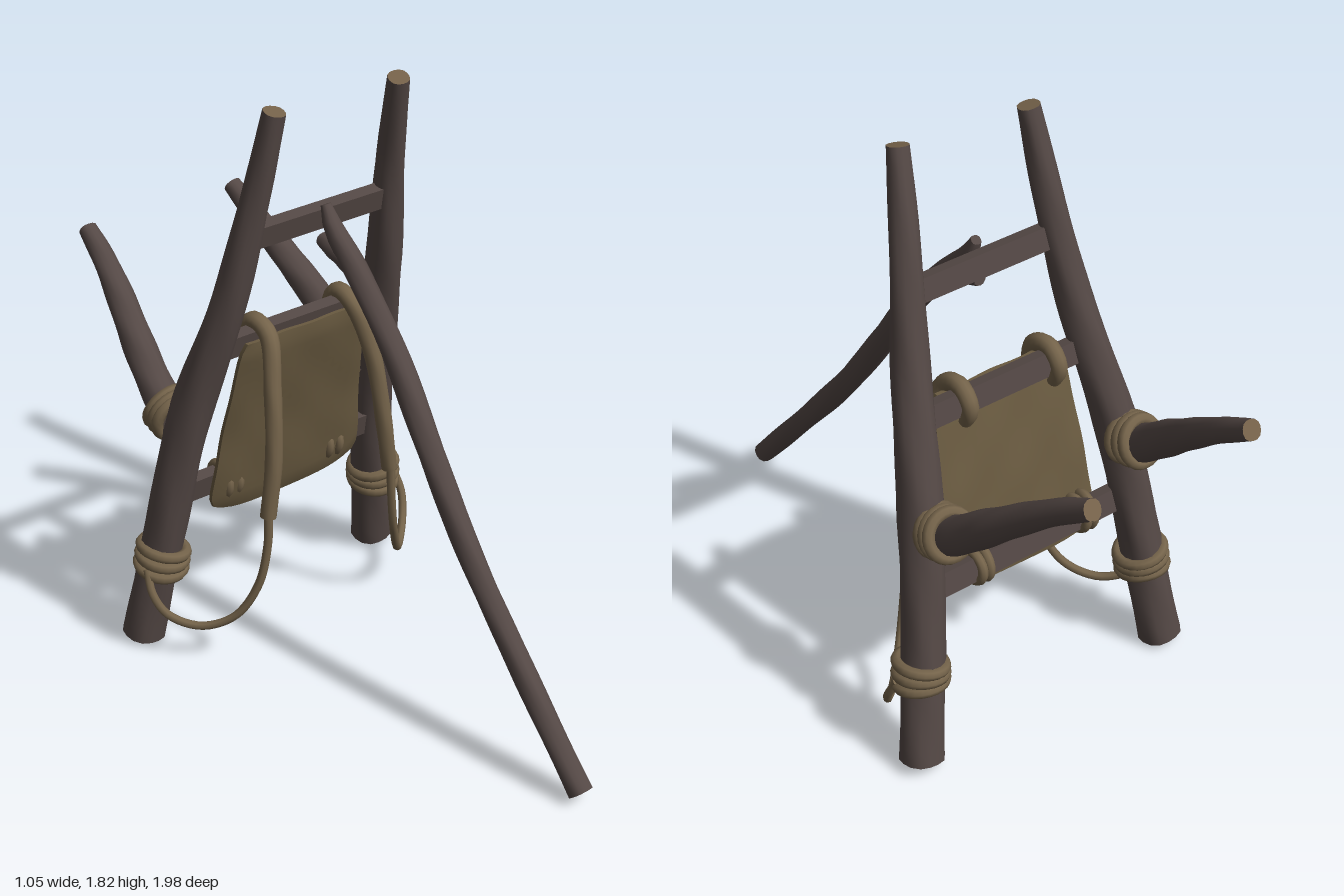
import * as THREE from 'three';

const wood = new THREE.MeshStandardMaterial({ color: 0x544845 });
wood.name = 'dark wood';
const cutWood = new THREE.MeshStandardMaterial({ color: 0x75624a });
cutWood.name = 'cut wood';
const cloth = new THREE.MeshStandardMaterial({ color: 0x695a40 });
cloth.name = 'hide cloth';
const rope = new THREE.MeshStandardMaterial({ color: 0x74634a });
rope.name = 'rope';

const V = (x, y, z) => new THREE.Vector3(x, y, z);

// Tapered limb through points [x, y, z, radius], with slight lumps and flat end caps
function limb(name, points, mats, lump = 0, sides = 14, steps = 36) {
  const curve = new THREE.CatmullRomCurve3(points.map(p => V(p[0], p[1], p[2])));
  const frames = curve.computeFrenetFrames(steps, false);
  const pos = [], side = [], caps = [];
  const last = points.length - 1;
  for (let i = 0; i <= steps; i++) {
    const u = i / steps, t = curve.getUtoTmapping(u);
    const k = Math.min(Math.floor(t * last), last - 1);
    const radius = THREE.MathUtils.lerp(points[k][3], points[k + 1][3], t * last - k);
    const c = curve.getPoint(t);
    for (let j = 0; j < sides; j++) {
      const a = j / sides * Math.PI * 2;
      const r = radius * (1 + lump * Math.sin(3 * a + 9 * u) * Math.sin(17 * u + a));
      const p = c.clone().addScaledVector(frames.normals[i], r * Math.cos(a))
        .addScaledVector(frames.binormals[i], r * Math.sin(a));
      pos.push(p.x, p.y, p.z);
    }
  }
  for (let i = 0; i < steps; i++) for (let j = 0; j < sides; j++) {
    const a = i * sides + j, b = i * sides + (j + 1) % sides;
    side.push(a, b, a + sides, b, b + sides, a + sides);
  }
  // caps use their own vertices so the rim stays sharp
  for (const end of [0, steps]) {
    const base = pos.length / 3;
    pos.push(...pos.slice(end * sides * 3, (end + 1) * sides * 3));
    const c = curve.getPoint(end / steps);
    pos.push(c.x, c.y, c.z);
    for (let j = 0; j < sides; j++) {
      const a = base + j, b = base + (j + 1) % sides;
      caps.push(base + sides, ...(end ? [a, b] : [b, a]));
    }
  }
  const g = new THREE.BufferGeometry();
  g.setAttribute('position', new THREE.Float32BufferAttribute(pos, 3));
  g.setIndex([...side, ...caps]);
  g.addGroup(0, side.length, 0);
  g.addGroup(side.length, caps.length, 1);
  g.computeVertexNormals();
  const mesh = new THREE.Mesh(g, mats);
  mesh.name = name;
  return mesh;
}

// Rope ring around an axis
function ring(name, center, axis, radius, thick) {
  const mesh = new THREE.Mesh(new THREE.TorusGeometry(radius, thick, 8, 24), rope);
  mesh.quaternion.setFromUnitVectors(V(0, 0, 1), axis.clone().normalize());
  mesh.position.copy(center);
  mesh.name = name;
  return mesh;
}

export function createModel() {
  const model = new THREE.Group();
  const log = [wood, cutWood], cord = [rope, rope];

  // Two leaning posts
  model.add(limb('rightPost', [[-0.46, 0.015, -0.495, 0.066], [-0.405, 0.42, -0.425, 0.066],
    [-0.355, 0.8, -0.355, 0.065], [-0.28, 1.2, -0.24, 0.052], [-0.225, 1.55, -0.17, 0.043],
    [-0.195, 1.8, -0.12, 0.034]], log, 0.06));
  model.add(limb('leftPost', [[0.455, 0.03, -0.495, 0.066], [0.395, 0.42, -0.425, 0.066],
    [0.35, 0.8, -0.355, 0.067], [0.295, 1.2, -0.24, 0.054], [0.255, 1.55, -0.165, 0.043],
    [0.22, 1.81, -0.09, 0.033]], log, 0.06));

  // Cross bars
  for (const [name, y, z, w, h] of [['topBar', 1.41, -0.19, 0.46, 0.07],
    ['middleBar', 1.045, -0.27, 0.6, 0.072], ['lowerBar', 0.54, -0.385, 0.72, 0.076]]) {
    const bar = new THREE.Mesh(new THREE.BoxGeometry(w, h, 0.04), wood);
    bar.position.set(0.01, y, z);
    bar.rotation.x = 0.22;
    bar.name = name;
    model.add(bar);
  }

  // Forked prop pole
  model.add(limb('propPole', [[0.025, 0.035, 0.97, 0.036], [0.015, 0.35, 0.7, 0.037],
    [0.012, 0.62, 0.475, 0.037], [0.022, 0.89, 0.275, 0.038], [0.026, 1.1, 0.13, 0.037],
    [0.015, 1.3, -0.03, 0.036], [0.006, 1.4, -0.12, 0.03], [0.004, 1.46, -0.15, 0.016]], [wood, wood], 0.08));
  model.add(limb('poleFork', [[0.018, 1.25, 0.01, 0.028], [0.012, 1.315, -0.06, 0.034],
    [0.008, 1.335, -0.12, 0.032], [0.005, 1.345, -0.17, 0.022]], [wood, wood], 0.05, 12, 14));

  // Hanging hide panel, wider and sagging at the bottom
  const g = new THREE.BoxGeometry(1, 1, 1, 16, 20, 4);
  const p = g.attributes.position;
  const zLine = new THREE.CatmullRomCurve3([V(0, 0.45, -0.355), V(0, 0.6, -0.325),
    V(0, 0.75, -0.297), V(0, 0.9, -0.262), V(0, 1.06, -0.222)]);
  for (let i = 0; i < p.count; i++) {
    const u = p.getX(i) * 2, v = p.getY(i) + 0.5, d = p.getZ(i);
    const c = zLine.getPoint(v);
    const edge = Math.max(Math.abs(u), Math.abs(2 * v - 1));
    const thick = 0.034 * Math.sqrt(Math.max(0.15, 1 - Math.pow(edge, 14)));
    const half = THREE.MathUtils.lerp(0.285, 0.228, v) * (1 - 0.06 * Math.pow(Math.abs(2 * v - 1), 16));
    p.setXYZ(i, THREE.MathUtils.lerp(-0.012, -0.02, v) + u * half,
      c.y + (1 - v) * (0.035 * u * u * u * u - 0.01 + 0.008 * u),
      c.z + d * thick + 0.003 * Math.sin(7 * u + 4 * v) * Math.sin(11 * v));
  }
  g.computeVertexNormals();
  const panel = new THREE.Mesh(g, cloth);
  panel.name = 'hidePanel';
  model.add(panel);

  for (const s of [-1, 1]) {
    const label = s > 0 ? 'left' : 'right';
    const o = s > 0 ? -0.02 : 0;

    // Shoulder strap looped over the middle bar
    const top = s * 0.168 + o;
    model.add(limb(label + 'Strap', [[top, 0.99, -0.295, 0.02], [top, 1.05, -0.318, 0.025],
      [top, 1.098, -0.275, 0.026], [top, 1.075, -0.205, 0.027], [s * 0.195 + o * 0.8, 0.92, -0.152, 0.027],
      [s * 0.215 + o * 0.6, 0.7, -0.127, 0.026], [s * 0.237 + o * 0.4, 0.52, -0.13, 0.024]], cord, 0.04, 12));

    // Thin cord from the strap down and back to the post
    model.add(limb(label + 'Cord', [[s * 0.235, 0.54, -0.13, 0.014], [s * 0.24, 0.42, -0.132, 0.013],
      [s * 0.265, 0.28, -0.15, 0.013], [s * 0.32, 0.165, -0.2, 0.013], [s * 0.395, 0.122, -0.275, 0.013],
      [s * 0.465, 0.155, -0.345, 0.013], [s * 0.492, 0.22, -0.385, 0.013],
      [s * 0.485, 0.29, -0.42, 0.013]], cord, 0, 8, 40));

    // Twin loops tying the panel to the lower bar
    for (const k of [-1, 1]) {
      const loop = ring(label + 'PanelTie', V(s * 0.193 - 0.025 + k * 0.016, 0.54, -0.375),
        V(1, 0, 0), 0.05, 0.015);
      loop.rotation.y += k * 0.06;
      model.add(loop);
    }

    // Lashing around the foot of the post
    [0.275, 0.305, 0.335].forEach((y, i) => model.add(ring(label + 'FootLashing',
      V(s * (0.418 - i * 0.003), y, -0.443 + i * 0.004),
      V(-s * (0.14 + 0.1 * (i - 1)), 1, 0.17 - 0.08 * (i - 1)), 0.07, 0.018)));

    // Rear carrying branch, rooted in the post
    const b = s > 0 ? -0.02 : 0;
    model.add(limb(label + 'Branch', [[s * 0.355 + b, 0.72, -0.37, 0.055], [s * 0.352 + b, 0.81, -0.5, 0.056],
      [s * 0.338 + b, 0.91, -0.62, 0.051], [s * 0.31 + b, 1.03, -0.765, 0.042],
      [s * 0.293 + b, 1.11, -0.87, 0.036], [s * 0.284 + b, 1.175, -0.97, 0.03]], log, 0.05));

    // Lashing around the root of the branch
    [-1, 0, 1].forEach(i => model.add(ring(label + 'BranchLashing',
      V(s * 0.357 + b, 0.785 + i * 0.008, -0.443 - i * 0.026),
      V(s * 0.08 * i, 0.35 + 0.1 * i, -1), 0.066, 0.019)));
  }
  return model;
}
